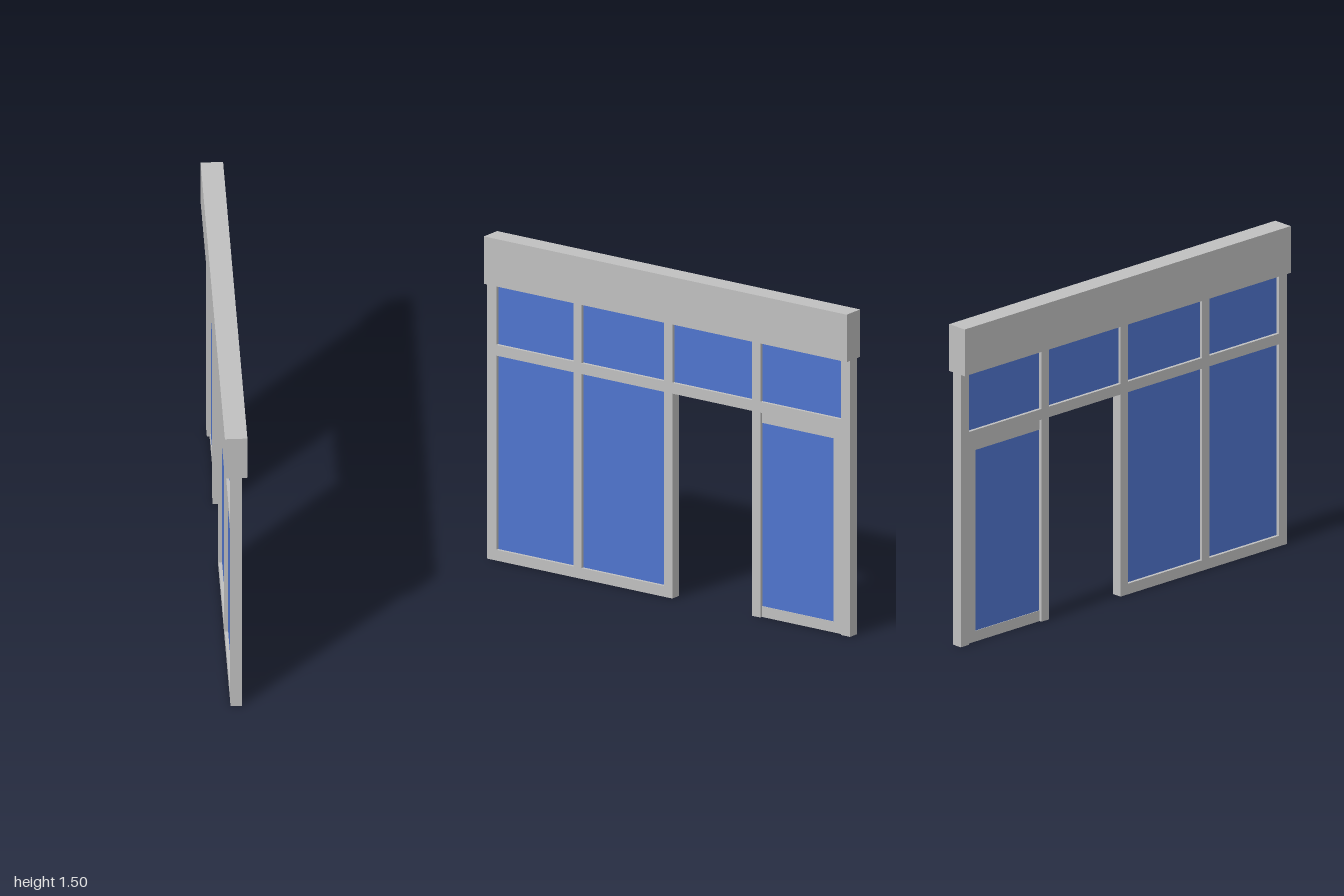
import * as THREE from 'three';

export function createModel() {
  const group = new THREE.Group();
  group.name = 'shopfrontWall';
  const frameGrey = new THREE.MeshStandardMaterial({ color: 0xc0c0c0 });
  frameGrey.name = 'frameGrey';
  const glassBlue = new THREE.MeshStandardMaterial({ color: 0x4f74cd });
  glassBlue.name = 'glassBlue';

  // Everything is drawn in the wall plane: u runs along -z, v is height.
  const polygon = (points, Type) => new Type(points.map(([u, v]) => new THREE.Vector2(u, v)));
  const rect = ([u0, u1, v0, v1], Type) =>
    polygon([[u0, v0], [u1, v0], [u1, v1], [u0, v1]], Type);

  // Extrude a wall-plane shape across the wall, centred on x = 0
  function slab(name, shape, thickness, material) {
    const geometry = new THREE.ExtrudeGeometry(shape, { depth: thickness, bevelEnabled: false });
    geometry.translate(0, 0, -thickness / 2);
    geometry.rotateY(Math.PI / 2);
    const mesh = new THREE.Mesh(geometry, material);
    mesh.name = name;
    group.add(mesh);
  }

  // Window openings: [u0, u1, v0, v1]
  const panes = [
    [-0.95, -0.525, 0.05, 0.95],
    [-0.48, -0.025, 0.05, 0.95],
    [-0.95, -0.525, 1, 1.28],
    [-0.48, -0.025, 1, 1.28],
    [0.02, 0.46, 1, 1.28],
    [0.505, 0.95, 1, 1.28],
  ];

  // Frame outline, notched for the open doorway and for the door leaf
  const frame = polygon([
    [-1, 0], [0.02, 0], [0.02, 0.95], [0.46, 0.95], [0.46, 0],
    [0.505, 0], [0.505, 0.95], [0.95, 0.95], [0.95, 0], [1, 0],
    [1, 1.3], [-1, 1.3],
  ], THREE.Shape);
  panes.forEach((pane) => frame.holes.push(rect(pane, THREE.Path)));
  slab('windowFrame', frame, 0.05, frameGrey);
  panes.forEach((pane) => slab('windowPane', rect(pane, THREE.Shape), 0.02, glassBlue));

  // Slimmer sliding door leaf parked beside the doorway
  const doorGlass = [0.505, 0.9, 0.05, 0.9];
  const door = polygon([
    [0.505, 0], [0.95, 0], [0.95, 0.95], [0.505, 0.95],
    [0.505, 0.9], [0.9, 0.9], [0.9, 0.05], [0.505, 0.05],
  ], THREE.Shape);
  slab('doorLeaf', door, 0.026, frameGrey);
  slab('doorPane', rect(doorGlass, THREE.Shape), 0.02, glassBlue);

  // Header beam
  slab('header', rect([-1, 1, 1.28, 1.5], THREE.Shape), 0.1, frameGrey);

  return group;
}
